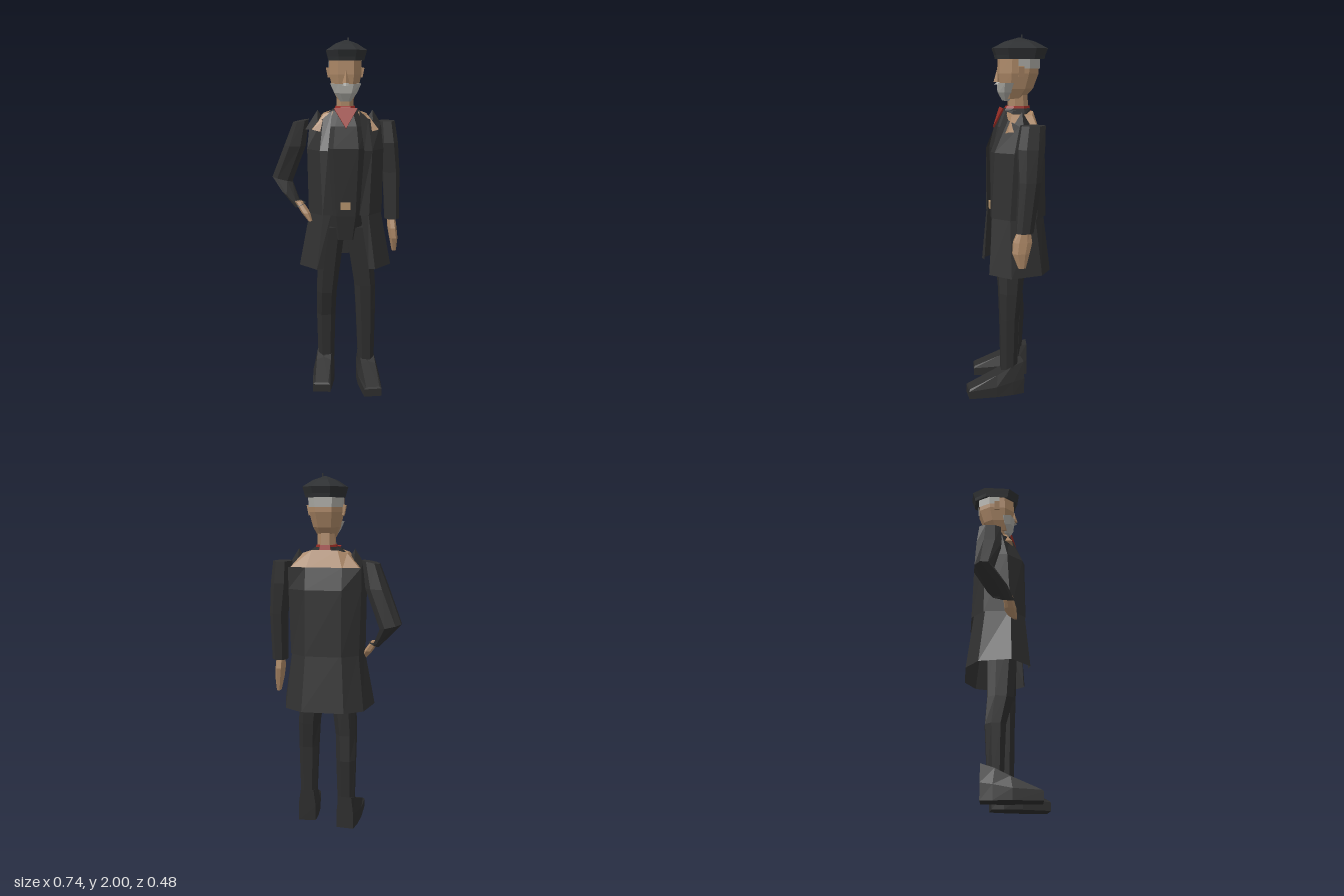
import * as THREE from 'three';

const mat = (name, color, side = THREE.FrontSide) => {
  const m = new THREE.MeshStandardMaterial({ color, flatShading: true, side });
  m.name = name;
  return m;
};
const CX = 0.05; // centre line of the body

// Skin a list of rings (bottom to top, counter-clockwise from above)
function loft(rings, open = false) {
  const pos = [];
  const n = rings[0].length;
  for (let r = 0; r + 1 < rings.length; r++) {
    for (let i = 0; i < (open ? n - 1 : n); i++) {
      const j = (i + 1) % n;
      const a = rings[r][i], b = rings[r][j], c = rings[r + 1][j], d = rings[r + 1][i];
      pos.push(...a, ...b, ...c, ...a, ...c, ...d);
    }
  }
  if (!open) {
    for (const [ring, top] of [[rings[0], false], [rings.at(-1), true]]) {
      const mid = [0, 1, 2].map(k => ring.reduce((s, p) => s + p[k], 0) / n);
      ring.forEach((p, i) => {
        const q = ring[(i + 1) % n];
        pos.push(...mid, ...(top ? p : q), ...(top ? q : p));
      });
    }
  }
  const g = new THREE.BufferGeometry();
  g.setAttribute('position', new THREE.Float32BufferAttribute(pos, 3));
  g.computeVertexNormals();
  return g;
}

// Half outline [offset, y, z] from front to back, mirrored into a ring
const mirrored = (half, cx = CX) => [
  ...half.map(([x, y, z]) => [cx + x, y, z]),
  ...[...half].reverse().map(([x, y, z]) => [cx - x, y, z]),
];

// Eight-sided ring; slope tilts it along x
function oct([y, w, zf, zb, cx = CX, slope = 0]) {
  const d = zf - zb;
  return mirrored([[0.5 * w, y, zf], [w, y, zf - 0.28 * d], [w, y, zb + 0.28 * d], [0.5 * w, y, zb]], cx)
    .map(([x, yy, z]) => [x, yy + slope * (x - cx), z]);
}
const tube = rows => loft(rows.map(oct));

export function createModel() {
  const group = new THREE.Group();
  const coat = mat('coat black', 0x303030, THREE.DoubleSide);
  const cloth = mat('trouser black', 0x2d2d2d);
  const felt = mat('beret black', 0x2e3032);
  const skin = mat('skin', 0xa98564);
  const grey = mat('hair grey', 0xa6a59f, THREE.DoubleSide);
  const red = mat('scarf red', 0x962c25);
  const brass = mat('buckle brass', 0xb0906a);
  const add = (name, geo, m, x = 0, y = 0, z = 0) => {
    const mesh = new THREE.Mesh(geo, m);
    mesh.name = name;
    mesh.position.set(x, y, z);
    group.add(mesh);
    return mesh;
  };

  // Shoes, the right one set further back
  const shoe = loft([
    mirrored([[0.05, 0, 0.235], [0.063, 0, 0.08], [0.06, 0, -0.02], [0.05, 0, -0.085]], 0),
    mirrored([[0.05, 0.045, 0.235], [0.063, 0.06, 0.08], [0.058, 0.08, -0.02], [0.05, 0.09, -0.085]], 0),
    mirrored([[0.038, 0.055, 0.23], [0.042, 0.125, 0.07], [0.042, 0.165, -0.01], [0.038, 0.19, -0.085]], 0),
  ]);
  add('leftShoe', shoe, cloth, 0.18, 0, 0).rotation.y = 0.09;
  add('rightShoe', shoe, cloth, -0.07, 0, -0.065).rotation.y = -0.09;

  // Legs
  add('leftLeg', tube([[0.12, 0.046, 0.04, -0.05, 0.175], [0.45, 0.056, 0.045, -0.06, 0.17],
    [0.6, 0.06, 0.05, -0.08, 0.165], [0.95, 0.075, 0.055, -0.12, 0.125]]), cloth);
  add('rightLeg', tube([[0.12, 0.048, -0.03, -0.115, -0.06], [0.4, 0.055, -0.02, -0.13, -0.06],
    [0.55, 0.058, 0.02, -0.12, -0.057], [0.95, 0.075, 0.055, -0.12, -0.025]]), cloth);

  // Tunic under the open coat
  add('tunic', tube([[0.88, 0.075, 0.06, -0.1], [1.02, 0.11, 0.07, -0.15], [1.4, 0.14, 0.075, -0.15],
    [1.52, 0.12, 0.048, -0.1], [1.605, 0.075, 0.012, -0.08]]), cloth);
  add('beltBuckle', new THREE.BoxGeometry(0.056, 0.04, 0.016), brass, 0.048, 1.08, 0.08);

  // Coat body and flared skirt, both open at the front
  add('coatBody', loft([
    mirrored([[0.075, 1.03, 0.09], [0.13, 1.03, 0.09], [0.208, 1.03, 0], [0.19, 1.03, -0.15], [0.1, 1.03, -0.215]]),
    mirrored([[0.1, 1.39, 0.09], [0.145, 1.39, 0.075], [0.215, 1.39, -0.02], [0.2, 1.39, -0.15], [0.1, 1.39, -0.205]]),
    mirrored([[0.075, 1.605, 0.005], [0.125, 1.56, 0], [0.2, 1.53, -0.05], [0.2, 1.51, -0.155], [0.1, 1.51, -0.178]]),
  ], true), coat);
  add('coatSkirt', loft([
    mirrored([[0.13, 0.72, 0.1], [0.165, 0.72, 0.11], [0.263, 0.72, 0], [0.22, 0.72, -0.175], [0.118, 0.72, -0.24]]),
    mirrored([[0.08, 1.05, 0.085], [0.125, 1.05, 0.085], [0.2, 1.05, 0], [0.185, 1.05, -0.14], [0.1, 1.05, -0.2]]),
  ], true), coat);

  // Bare shoulders, shoulder peaks and collar
  add('shoulders', loft([
    mirrored([[0.1, 1.48, 0.03], [0.185, 1.5, 0.01], [0.195, 1.5, -0.155], [0.1, 1.5, -0.175]]),
    mirrored([[0.07, 1.6, -0.005], [0.12, 1.585, -0.02], [0.12, 1.585, -0.13], [0.07, 1.6, -0.145]]),
  ]), skin);
  for (const s of [-1, 1]) {
    add(s > 0 ? 'leftShoulderPeak' : 'rightShoulderPeak',
      new THREE.ConeGeometry(0.07, 0.11, 4), cloth, CX + s * 0.155, 1.55, -0.07);
  }
  add('collar', tube([[1.585, 0.1, 0.012, -0.135], [1.615, 0.06, 0, -0.135]]), cloth);

  // Neck and red scarf
  add('neck', tube([[1.56, 0.05, -0.02, -0.13], [1.72, 0.045, -0.02, -0.12]]), skin);
  add('scarfBand', tube([[1.6, 0.06, 0.005, -0.138], [1.627, 0.053, -0.01, -0.133]]), red);
  const flap = new THREE.Shape([[-0.065, 0], [0, -0.115], [0.065, 0]].map(p => new THREE.Vector2(...p)));
  add('scarfFlap', new THREE.ExtrudeGeometry(flap, { depth: 0.009, bevelEnabled: false }),
    red, CX, 1.615, 0.012).rotation.x = -0.4;

  // Left arm hanging, right arm with hand on hip
  add('leftArm', tube([[0.98, 0.041, -0.02, -0.11, 0.323], [1.25, 0.047, -0.035, -0.15, 0.318],
    [1.42, 0.055, -0.03, -0.17, 0.298], [1.54, 0.048, -0.05, -0.175, 0.287]]), coat);
  add('leftHand', tube([[0.79, 0.012, -0.03, -0.07, 0.338], [0.87, 0.023, 0, -0.09, 0.333],
    [0.93, 0.025, -0.005, -0.105, 0.325], [1.0, 0.022, -0.035, -0.095, 0.32]]), skin);
  add('rightArm', tube([[1.07, 0.028, 0.015, -0.05, -0.205, 0.5], [1.11, 0.05, -0.03, -0.13, -0.26, -0.6],
    [1.2, 0.058, -0.11, -0.21, -0.312, -0.25], [1.4, 0.062, -0.06, -0.2, -0.235],
    [1.54, 0.045, -0.06, -0.185, -0.2, 0.2]]), coat);
  add('rightHand', tube([[0.985, 0.012, 0.035, 0, -0.15], [1.03, 0.024, 0.03, -0.035, -0.175],
    [1.09, 0.022, 0.005, -0.045, -0.215]]), skin);

  // Head, nose and ears
  add('head', tube([[1.665, 0.045, 0.01, -0.1], [1.72, 0.07, 0.027, -0.15], [1.8, 0.088, 0.035, -0.178],
    [1.9, 0.088, 0.03, -0.18]]), skin);
  add('nose', new THREE.ConeGeometry(0.02, 0.07, 4), skin, CX, 1.79, 0.04);
  for (const s of [-1, 1]) {
    add(s > 0 ? 'leftEar' : 'rightEar', new THREE.BoxGeometry(0.018, 0.055, 0.03), skin,
      CX + s * 0.093, 1.81, -0.075).rotation.z = -s * 0.2;
  }

  // Beard, moustache and hair
  add('beard', tube([[1.655, 0.03, 0.012, -0.03], [1.7, 0.062, 0.035, -0.05], [1.75, 0.085, 0.037, -0.06]]), grey);
  add('moustache', new THREE.ConeGeometry(0.04, 0.035, 4), grey, CX, 1.758, 0.018);
  const hairRing = (y, k) => mirrored(
    [[0.092 * k, y, -0.06], [0.092 * k, y, -0.122], [0.047 * k, y, -0.185]]).reverse();
  add('hair', loft([hairRing(1.825, 0.98), hairRing(1.89, 1)], true), grey);

  // Beret with stalk
  const beret = rows => loft(rows.map(([y, rx, rz]) =>
    mirrored([[0.05 * rx / 0.11, y, -0.08 + rz], [rx, y, -0.08 + rz * 0.55],
      [rx, y, -0.08 - rz * 0.5], [0.05 * rx / 0.11, y, -0.08 - rz]], 0.055)));
  add('beret', beret([[1.875, 0.097, 0.128], [1.895, 0.102, 0.132], [1.93, 0.111, 0.145],
    [1.965, 0.06, 0.08], [1.985, 0.008, 0.01]]), felt);
  add('beretStalk', new THREE.CylinderGeometry(0.004, 0.006, 0.03, 6), felt, 0.068, 1.985, -0.09);

  return group;
}
